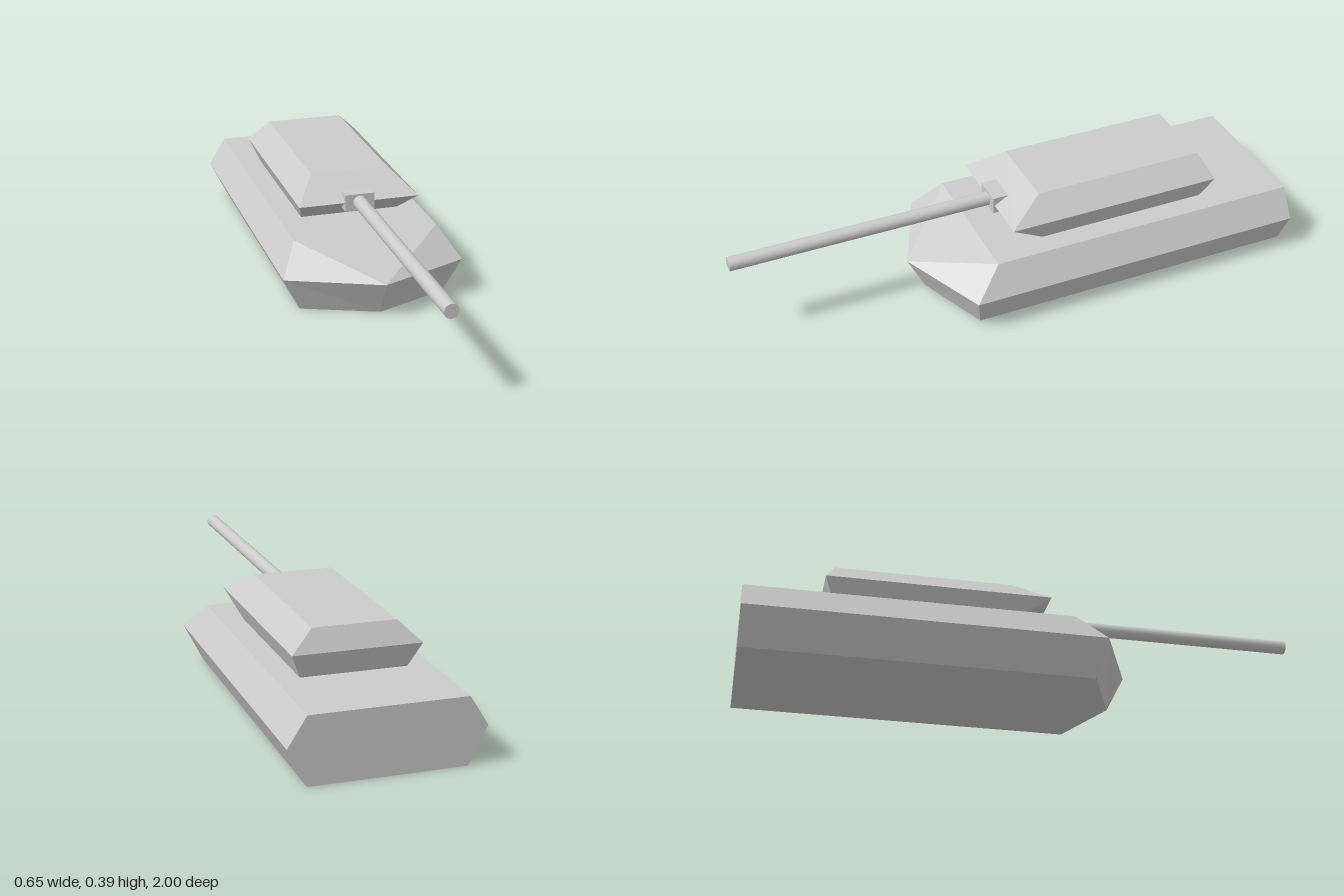
import * as THREE from 'three';

const material = new THREE.MeshStandardMaterial({ color: 0xcccccc, flatShading: true });
const smooth = new THREE.MeshStandardMaterial({ color: 0xcccccc });

// Joins rings of [x, y, z] points (counter-clockwise from above, bottom to top) into a closed solid.
// Quads are split in mirror image on the two sides of the body.
function loft(rings) {
  const pos = [];
  const tri = (...points) => points.forEach((p) => pos.push(...p));
  const n = rings[0].length;
  for (let r = 0; r < rings.length - 1; r++) {
    for (let i = 0; i < n; i++) {
      const j = (i + 1) % n;
      const a = rings[r][i], b = rings[r][j], c = rings[r + 1][j], d = rings[r + 1][i];
      if (i < n / 2) { tri(a, b, c); tri(a, c, d); }
      else { tri(a, b, d); tri(b, c, d); }
    }
  }
  const bottom = rings[0], top = rings[rings.length - 1];
  for (let i = 1; i < n - 1; i++) {
    tri(bottom[0], bottom[i + 1], bottom[i]);
    tri(top[0], top[i], top[i + 1]);
  }
  const geometry = new THREE.BufferGeometry();
  geometry.setAttribute('position', new THREE.Float32BufferAttribute(pos, 3));
  geometry.computeVertexNormals();
  return geometry;
}

// Rectangular ring, with an optional pointed nose in the middle of the front
function ring(y, halfWidth, back, front, nose) {
  const corners = [
    [halfWidth, y, front], [halfWidth, y, back],
    [-halfWidth, y, back], [-halfWidth, y, front],
  ];
  return nose === undefined ? corners : [[0, y, nose], ...corners];
}

export function createModel() {
  const model = new THREE.Group();
  const add = (name, geometry, mat = material) => {
    const mesh = new THREE.Mesh(geometry, mat);
    mesh.name = name;
    model.add(mesh);
    return mesh;
  };

  // Hull: widest at mid height, wedge-shaped nose, flat stern
  add('hull', loft([
    ring(0, 0.26, -1, 0.205, 0.31),
    ring(0.127, 0.323, -1, 0.235, 0.373),
    ring(0.228, 0.26, -1, 0.135, 0.135),
  ]));

  // Turret: flares out, then slopes in to a flat roof
  add('turret', loft([
    ring(0.228, 0.18, -0.69, -0.067),
    ring(0.314, 0.218, -0.725, 0.06),
    ring(0.388, 0.142, -0.69, -0.067),
  ]));

  // Block that holds the gun
  add('gunMount', new THREE.BoxGeometry(0.106, 0.061, 0.06)).position.set(0, 0.3135, 0.035);

  // Gun barrel along +z
  const barrel = new THREE.CylinderGeometry(0.0245, 0.0245, 0.95, 32).rotateX(Math.PI / 2);
  add('gunBarrel', barrel, smooth).position.set(0, 0.3135, 0.525);

  return model;
}
